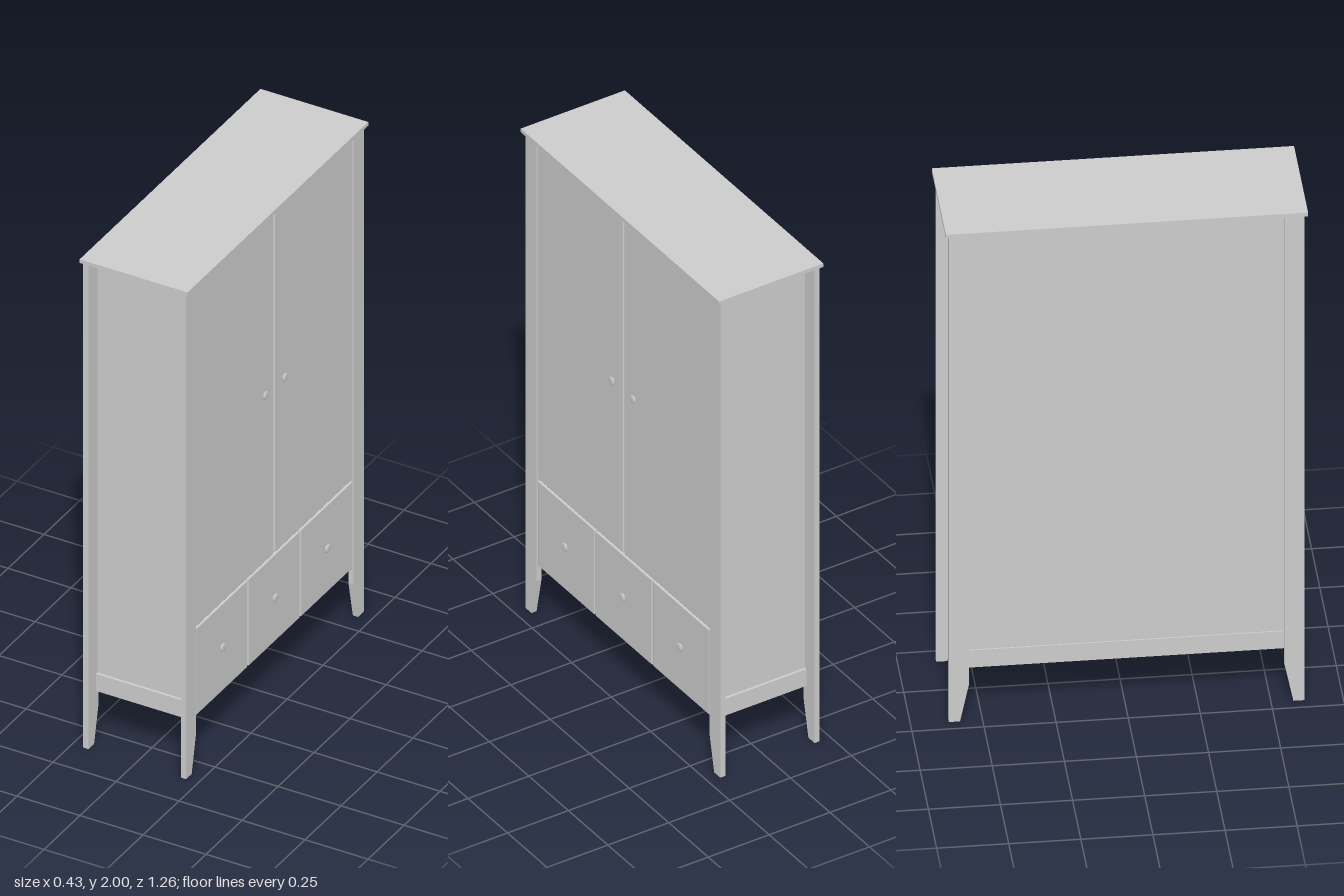
import * as THREE from 'three';
import { RoundedBoxGeometry } from 'three/addons/geometries/RoundedBoxGeometry.js';

const material = new THREE.MeshStandardMaterial({ color: 0xcccccc });

export function createModel() {
  const model = new THREE.Group();

  const add = (name, geometry) => {
    const mesh = new THREE.Mesh(geometry, material);
    mesh.name = name;
    model.add(mesh);
    return mesh;
  };
  // Box given by its lower and upper limits; a radius rounds its edges
  const box = (name, [x0, x1], [y0, y1], [z0, z1], radius = 0) => {
    const size = [x1 - x0, y1 - y0, z1 - z0];
    const geometry = radius
      ? new RoundedBoxGeometry(...size, 2, radius)
      : new THREE.BoxGeometry(...size);
    add(name, geometry).position.set((x0 + x1) / 2, (y0 + y1) / 2, (z0 + z1) / 2);
  };

  // Top board
  box('topBoard', [-0.214, 0.214], [1.985, 2], [-0.628, 0.628]);

  // Closed body with recessed sides and back
  box('body', [-0.189, 0.184], [0.212, 1.985], [-0.556, 0.556]);

  // Bottom rails, slightly proud of the panels
  for (const s of [1, -1]) {
    const z = s > 0 ? [0.55, 0.566] : [-0.566, -0.55];
    box('sideRail', [-0.185, 0.181], [0.21, 0.28], z);
  }
  box('backRail', [-0.194, -0.185], [0.21, 0.28], [-0.547, 0.547]);

  // Corner posts: flat boards whose feet taper on the inner edge
  for (const s of [1, -1]) {
    const outline = [[0.578, 0], [0.617, 0], [0.617, 1.985], [0.547, 1.985], [0.547, 0.15]];
    const shape = new THREE.Shape(outline.map(([z, y]) => new THREE.Vector2(-z * s, y)));
    for (const x of [-0.206, 0.181]) {
      const post = new THREE.ExtrudeGeometry(shape, { depth: 0.021, bevelEnabled: false });
      post.rotateY(Math.PI / 2);
      add(x > 0 ? 'frontPost' : 'backPost', post).position.x = x;
    }
  }

  // Doors
  const face = [0.178, 0.199];
  box('leftDoor', face, [0.58, 1.98], [0.004, 0.545], 0.004);
  box('rightDoor', face, [0.58, 1.98], [-0.545, -0.004], 0.004);

  // Drawers
  for (const i of [-1, 0, 1]) {
    const z = i * 0.364;
    box('drawerFront', face, [0.217, 0.572], [z - 0.179, z + 0.179], 0.004);
  }

  // Round knobs
  const profile = [[0, -0.004], [0.01, -0.004], [0.012, 0.002], [0.016, 0.005],
    [0.016, 0.008], [0.013, 0.0105], [0, 0.011]].map(p => new THREE.Vector2(...p));
  const knob = new THREE.LatheGeometry(profile, 24).rotateZ(-Math.PI / 2);
  const spots = [[1.265, 0.067], [1.265, -0.067], [0.4, 0.364], [0.4, 0], [0.4, -0.364]];
  for (const [y, z] of spots) add('knob', knob).position.set(0.198, y, z);

  return model;
}
